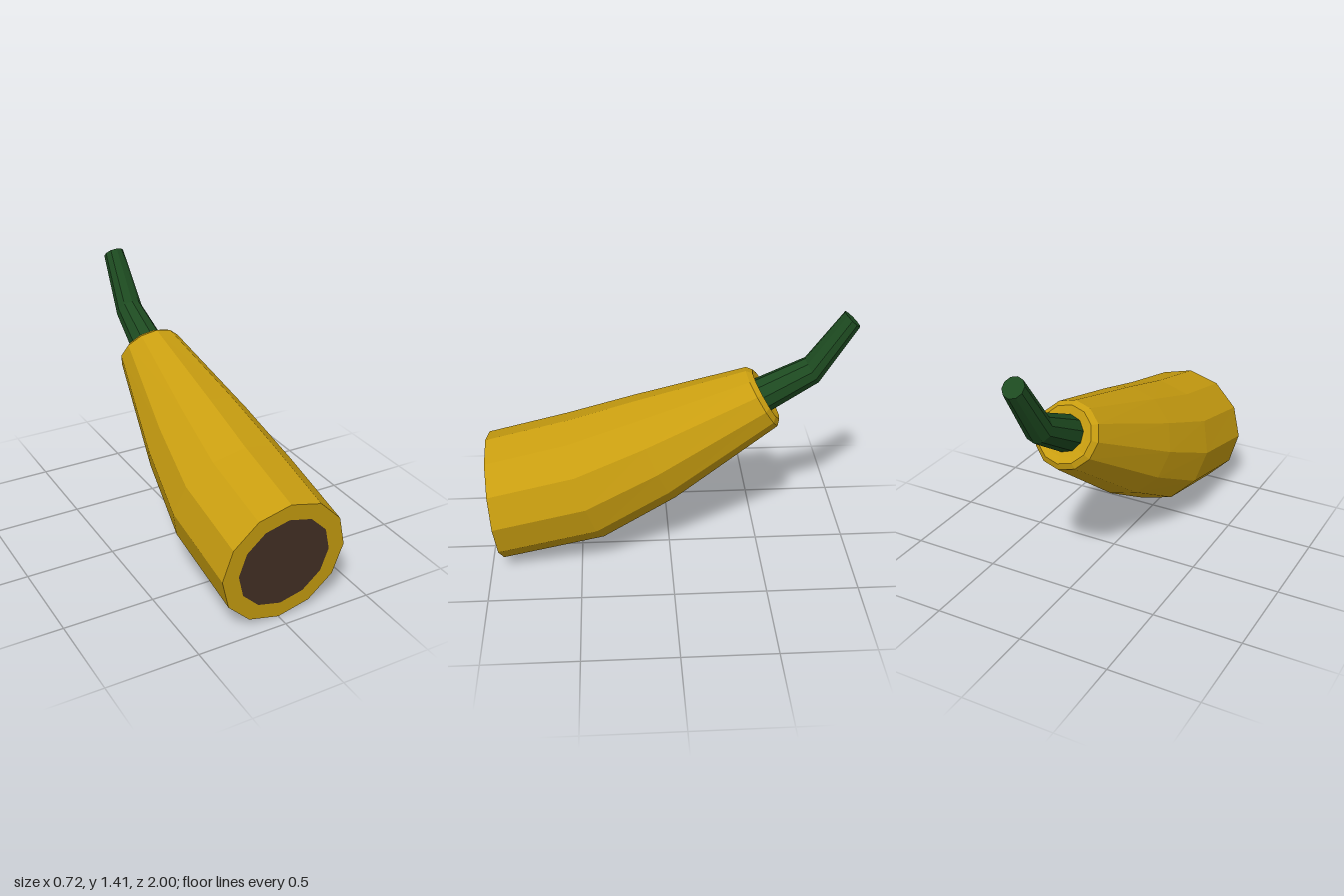
import * as THREE from 'three';

// Faceted skin over tilted rings. Each ring is [zTop, yTop, zBottom, yBottom];
// a ring whose top and bottom coincide closes the skin to a point.
function loft(name, color, rings, sides) {
  const point = ([zt, yt, zb, yb], j) => {
    const a = ((j % sides) / sides) * Math.PI * 2;
    const r = Math.hypot(zt - zb, yt - yb) / 2;
    return [
      r * Math.sin(a),
      (yt + yb) / 2 + ((yt - yb) / 2) * Math.cos(a),
      (zt + zb) / 2 + ((zt - zb) / 2) * Math.cos(a),
    ];
  };
  const isPoint = (r) => r[0] === r[2] && r[1] === r[3];
  const pos = [];
  for (let i = 0; i < rings.length - 1; i++) {
    for (let j = 0; j < sides; j++) {
      const a = point(rings[i], j), b = point(rings[i], j + 1);
      const c = point(rings[i + 1], j), d = point(rings[i + 1], j + 1);
      if (!isPoint(rings[i])) pos.push(...a, ...b, ...c);
      if (!isPoint(rings[i + 1])) pos.push(...b, ...d, ...c);
    }
  }
  const geo = new THREE.BufferGeometry();
  geo.setAttribute('position', new THREE.Float32BufferAttribute(pos, 3));
  geo.computeVertexNormals();
  const mesh = new THREE.Mesh(geo, new THREE.MeshStandardMaterial({ color, flatShading: true }));
  mesh.name = name;
  return mesh;
}

export function createModel() {
  const group = new THREE.Group();
  group.name = 'hornGourd';

  const mouth = [0.991, 0.615, 0.939, 0.093]; // edge of the dark opening

  // Body: front rim, swelling belly, taper, bevelled neck with a shallow dish
  group.add(loft('body', 0xc99e10, [
    mouth,
    [1.0, 0.706, 0.93, 0.002],
    [0.57, 0.81, 0.36, 0.125],
    [0.2, 0.918, -0.04, 0.36],
    [-0.405, 1.085, -0.59, 0.775],
    [-0.442, 1.073, -0.597, 0.812],
    [-0.455, 1.03, -0.57, 0.838],
    [-0.5, 0.925, -0.5, 0.925],
  ], 12));

  // Dark disc filling the mouth
  group.add(loft('mouth', 0x443025, [[0.965, 0.354, 0.965, 0.354], mouth], 12));

  // Bent, tapering stem
  group.add(loft('stem', 0x1d4a20, [
    [-0.44, 1.02, -0.54, 0.85],
    [-0.72, 1.15, -0.8, 1.018],
    [-0.912, 1.412, -0.997, 1.333],
    [-0.9545, 1.3725, -0.9545, 1.3725],
  ], 10));

  return group;
}
